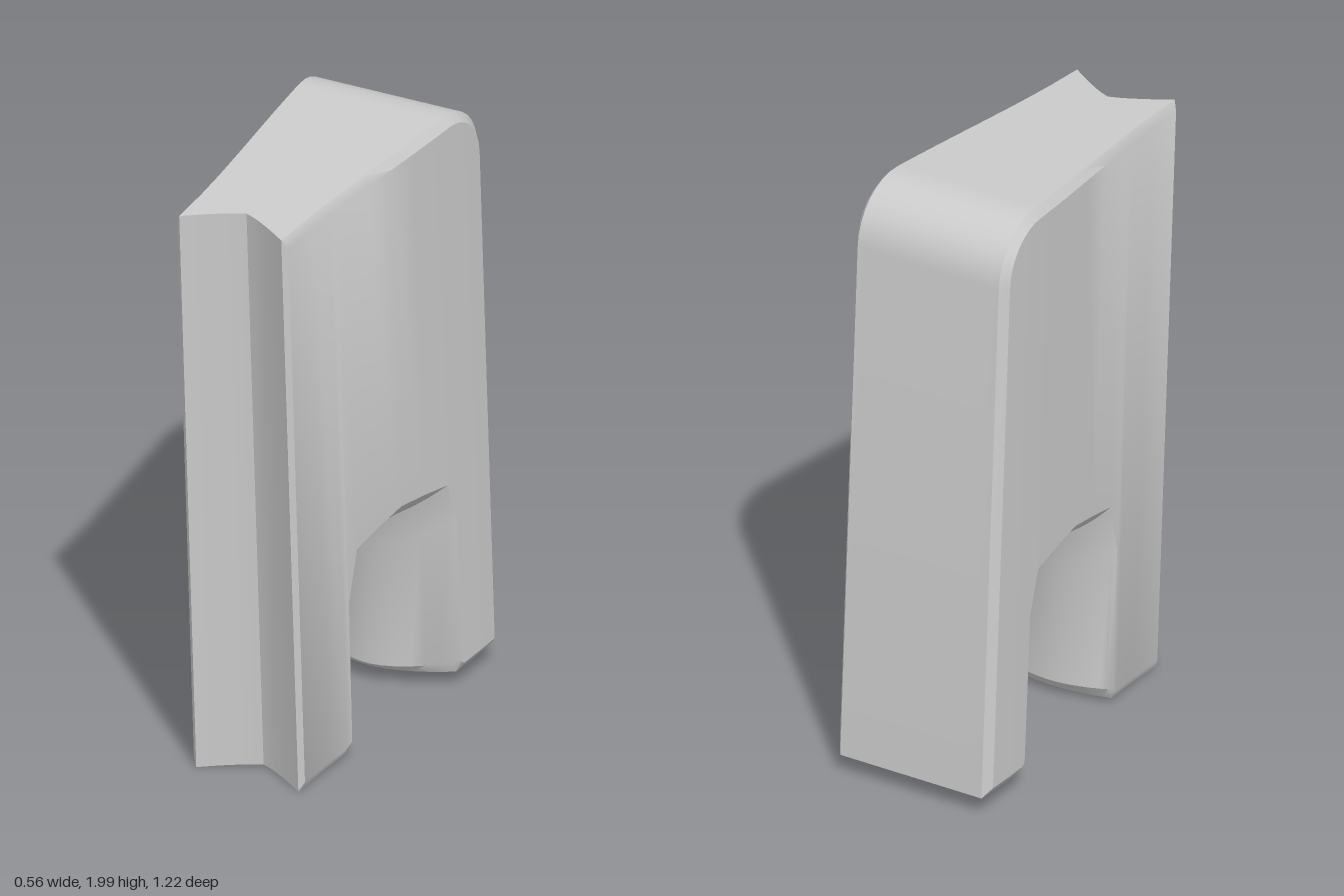
import * as THREE from 'three';
import { toCreasedNormals } from 'three/addons/utils/BufferGeometryUtils.js';

const HALF_H = 0.972, HALF_D = 0.555, CORNER = 0.2, BEVEL = 0.03;

// Underside from front leg, over the arch, to back leg:
// [z, y] at the side faces, then [z, y] on the centre line
const UNDERSIDE = [
  [0.4, -HALF_H, 0.4, -HALF_H],
  [0.29, -HALF_H, 0.25, -HALF_H],
  [0.264, -0.93, 0.222, -0.94],
  [0.259, -0.45, 0.194, -0.52],
  [0.206, -0.28, 0.149, -0.412],
  [0.09, -0.26, 0.07, -0.402],
  [-0.036, -0.243, -0.028, -0.397],
  [-0.16, -0.262, -0.12, -0.407],
  [-0.284, -0.287, -0.197, -0.422],
  [-0.326, -0.43, -0.226, -0.524],
  [-0.33, -0.93, -0.226, -0.95],
  [-0.345, -HALF_H, -0.25, -HALF_H],
];

// Half width: narrow at the front, wide at the back
const halfWidth = (z) => 0.195 + 0.088 * (1 - THREE.MathUtils.smoothstep(z, -0.6, 0.6));

// Upper and lower outline of one slice; f runs from -1 (right side) to 1 (left side)
function slice(f) {
  const a = Math.abs(f);
  const inset = a > 0.95 ? BEVEL : 0;
  const flare = Math.pow(a, 1.8);
  const bottom = -HALF_H + inset;
  // V-shaped groove down the front
  const front = 0.45 + 0.105 * Math.pow(Math.min(a / 0.92, 1), 1.2) - inset / 2;
  const upper = [[front, HALF_H - inset]];
  const lower = [[front, bottom]];
  for (const [zo, yo, zc, yc] of UNDERSIDE) {
    upper.push([zo, HALF_H - inset]);
    const y = THREE.MathUtils.lerp(yc, yo, flare);
    lower.push([THREE.MathUtils.lerp(zc, zo, flare), Math.max(y, bottom)]);
  }
  // Rounded top back corner
  const r = CORNER - inset, steps = 8;
  for (let i = 0; i <= steps; i++) {
    const t = (i / steps) * Math.PI / 2;
    const z = -HALF_D + CORNER - r * Math.sin(t);
    upper.push([z, HALF_H - CORNER + r * Math.cos(t)]);
    lower.push([z, bottom]);
  }
  const place = ([z, y]) => [f * halfWidth(z), y, z];
  return { upper: upper.map(place), lower: lower.map(place) };
}

function bodyGeometry() {
  const half = [0.15, 0.3, 0.5, 0.65, 0.8, 0.92, 1];
  const slices = [...half.map((f) => -f).reverse(), 0, ...half].map(slice);
  const pos = [];
  const quad = (a, b, c, d) => pos.push(...a, ...b, ...c, ...a, ...c, ...d);

  // Skin around the outline, from slice to slice
  const loops = slices.map((s) => [...s.upper, ...[...s.lower].reverse()]);
  for (let j = 0; j < loops.length - 1; j++) {
    const p = loops[j], q = loops[j + 1];
    for (let i = 0; i < p.length; i++) {
      const k = (i + 1) % p.length;
      quad(p[i], q[i], q[k], p[k]);
    }
  }
  // Side faces, filled column by column
  const right = slices[0], left = slices[slices.length - 1];
  for (let i = 0; i < left.upper.length - 1; i++) {
    quad(left.upper[i], left.lower[i], left.lower[i + 1], left.upper[i + 1]);
    quad(right.upper[i + 1], right.lower[i + 1], right.lower[i], right.upper[i]);
  }
  const geo = new THREE.BufferGeometry();
  geo.setAttribute('position', new THREE.Float32BufferAttribute(pos, 3));
  return toCreasedNormals(geo, THREE.MathUtils.degToRad(32));
}

export function createModel() {
  const group = new THREE.Group();
  group.name = 'archedBlock';
  const body = new THREE.Mesh(bodyGeometry(), new THREE.MeshStandardMaterial({ color: 0xcccccc }));
  body.name = 'twoLeggedBody';
  // The whole block leans forward slightly
  body.rotation.x = 0.0566;
  body.position.y = 1.003;
  group.add(body);
  return group;
}
